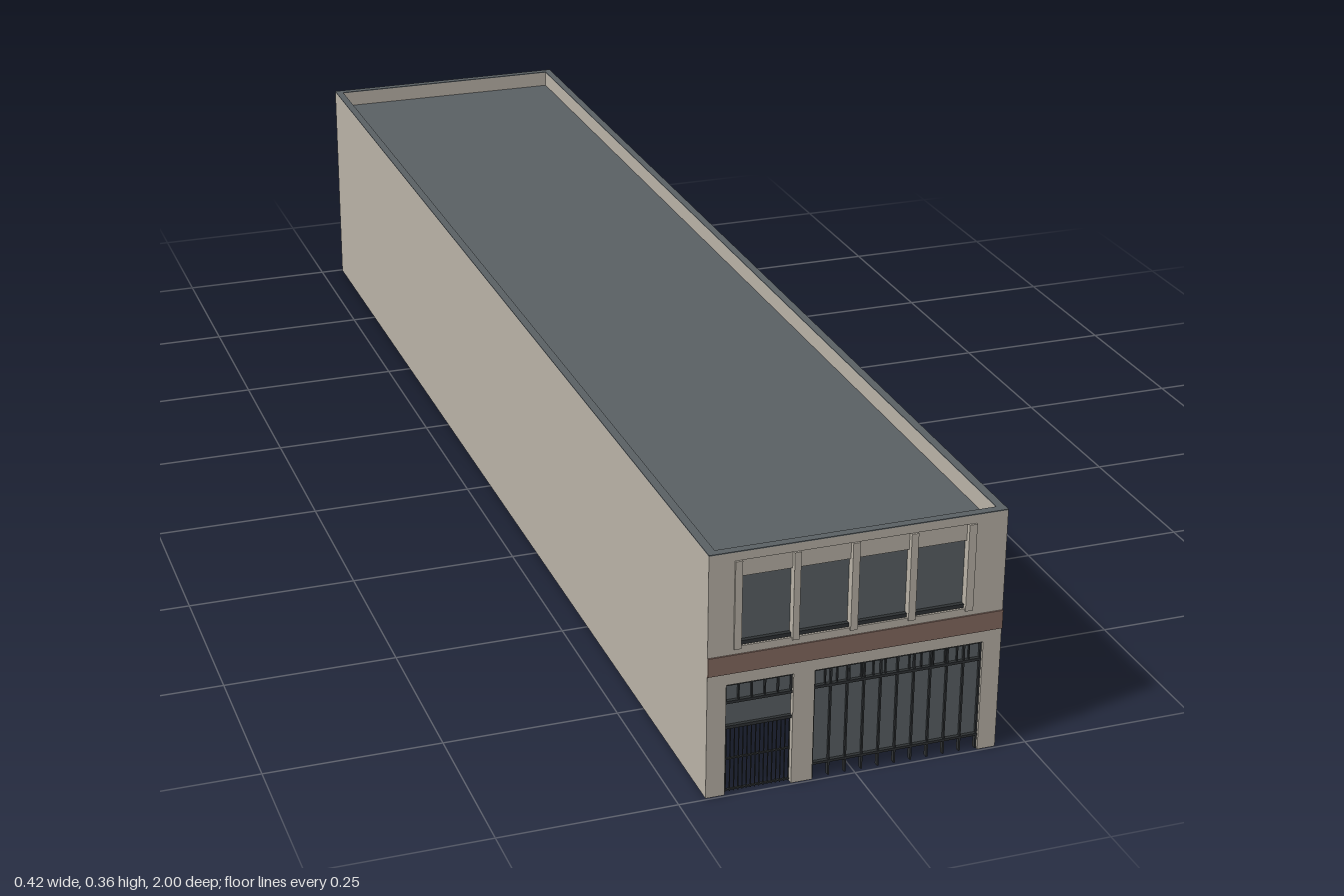
import * as THREE from 'three';

const mat = (name, color) => Object.assign(new THREE.MeshStandardMaterial({ color }), { name });
const T = 0.012, H = 0.356; // wall thickness, wall height
const X0 = -0.2115, X1 = 0.206, Z = 0.997;
const XC = (X0 + X1) / 2, W = X1 - X0;

export function createModel() {
  const stone = mat('stone', 0xbab3a8);
  const slate = mat('slate glass and roofing', 0x5a6064);
  const dark = mat('dark metal', 0x2e3133);
  const brick = mat('brown band', 0x866b61);

  const model = new THREE.Group();
  model.name = 'longBuilding';

  // Box given by its limits
  function box(parent, name, material, x0, x1, y0, y1, z0, z1) {
    const m = new THREE.Mesh(new THREE.BoxGeometry(x1 - x0, y1 - y0, z1 - z0), material);
    m.position.set((x0 + x1) / 2, (y0 + y1) / 2, (z0 + z1) / 2);
    m.name = name;
    parent.add(m);
    return m;
  }

  // Wall in its own group: outer face on local z = 0, doorways notched from the ground
  function wall(name, u0, u1, doors, holes) {
    const g = new THREE.Group();
    g.name = name;
    const s = new THREE.Shape();
    s.moveTo(u0, 0);
    for (const [a, b, h] of doors) {
      s.lineTo(a, 0); s.lineTo(a, h); s.lineTo(b, h); s.lineTo(b, 0);
    }
    s.lineTo(u1, 0); s.lineTo(u1, H); s.lineTo(u0, H); s.closePath();
    for (const [a, b, c, d] of holes) {
      const p = new THREE.Path();
      p.moveTo(a, c); p.lineTo(a, d); p.lineTo(b, d); p.lineTo(b, c); p.closePath();
      s.holes.push(p);
    }
    const geo = new THREE.ExtrudeGeometry(s, { depth: T, bevelEnabled: false });
    geo.translate(0, 0, -T);
    const m = new THREE.Mesh(geo, stone);
    m.name = name + 'Masonry';
    g.add(m);
    model.add(g);
    return g;
  }

  // Small windows: a hole, and the parts that fill it
  const upper = (u) => [u - 0.018, u + 0.018, 0.254, 0.31];
  const lower = (u) => [u - 0.02, u + 0.02, 0.084, 0.123];
  function fillWindow(g, [a, b, c, d], split) {
    box(g, 'windowPane', slate, a, b, c, d, -0.009, -0.006);
    box(g, 'windowSill', dark, a - 0.004, b + 0.004, c - 0.005, c, -0.006, 0.003);
    if (split) {
      box(g, 'windowTransom', stone, a, b, 0.283, 0.289, -0.006, -0.002);
      const u = (a + b) / 2;
      box(g, 'windowMullion', dark, u - 0.0007, u + 0.0007, c, d, -0.006, -0.004);
    }
  }
  function windowWall(name, u0, u1, doorHalf, doorHeight, ups, lows) {
    const g = wall(name, u0, u1, [[-doorHalf, doorHalf, doorHeight]],
      [...ups.map(upper), ...lows.map(lower)]);
    ups.forEach((u) => fillWindow(g, upper(u), true));
    lows.forEach((u) => fillWindow(g, lower(u), false));
    // Door standing open to the inside
    box(g, 'openDoor', dark, -doorHalf - 0.002, -doorHalf, 0.004, doorHeight, -T - 0.042, -T);
    return g;
  }

  // Right side wall: nineteen bays with a door in the middle one
  const bays = Array.from({ length: 19 }, (_, i) => (i - 9) * 0.1017);
  const side = windowWall('sideWall', -Z + T, Z - T, 0.021, 0.094, bays, bays.filter((u) => Math.abs(u) > 0.05));
  side.rotation.y = Math.PI / 2;
  side.position.x = X1;

  // Rear wall
  const rear = windowWall('rearWall', -W / 2, W / 2, 0.02, 0.092,
    [-0.129, -0.043, 0.043, 0.129], [-0.129, 0.129]);
  rear.rotation.y = Math.PI;
  rear.position.set(XC, 0, -Z);

  // Plain left side wall
  const blank = wall('blankWall', -Z + T, Z - T, [], []);
  blank.rotation.y = -Math.PI / 2;
  blank.position.x = X0;

  // Front wall with entrance, shop window and four upper bays
  const piers = [[-0.176, -0.166], [-0.095, -0.086], [-0.014, -0.004], [0.068, 0.078], [0.15, 0.161]];
  const upperBays = piers.slice(0, 4).map((p, i) => [p[1], piers[i + 1][0], 0.22, 0.344]);
  const E0 = -0.185, E1 = -0.091, S0 = -0.061, S1 = 0.18, TOP = 0.165;
  const front = wall('frontWall', X0, X1, [[E0, E1, TOP], [S0, S1, TOP]], upperBays);
  front.position.z = Z;
  for (const [a, b] of piers) box(front, 'pier', stone, a, b, 0.217, 0.344, -T, 0.003);
  for (const [a, b] of upperBays) {
    box(front, 'bayHeader', stone, a, b, 0.319, 0.344, -T, -0.004);
    box(front, 'bayGlass', slate, a, b, 0.22, 0.319, -T, -0.009);
    box(front, 'baySill', dark, a, b, 0.22, 0.2255, -0.009, -0.003);
  }
  box(front, 'brownBand', brick, X0, X1, 0.182, 0.209, 0, 0.002);

  // Shop window, open below its bottom rail
  box(front, 'shopGlass', slate, S0, S1, 0.022, TOP, -0.01, -0.008);
  for (const [c, d] of [[0.02, 0.0235], [0.1355, 0.1395], [0.162, TOP]])
    box(front, 'shopRail', dark, S0, S1, c, d, -0.011, -0.003);
  for (let i = 0; i <= 10; i++) {
    const u = S0 + 0.0012 + i * (S1 - S0 - 0.0024) / 10;
    box(front, 'shopMullion', dark, u - 0.0012, u + 0.0012, 0, TOP, -0.011, -0.004);
  }
  for (let i = 1; i < 14; i++) {
    const u = S0 + i * (S1 - S0) / 14;
    box(front, 'transomBar', dark, u - 0.0009, u + 0.0009, 0.138, TOP, -0.008, -0.005);
  }

  // Entrance: transom lights, sign panel and barred gate
  box(front, 'entranceGlass', slate, E0, E1, 0.101, TOP, -0.01, -0.008);
  for (const [c, d] of [[0.135, 0.139], [0.0975, 0.102], [0.162, TOP]])
    box(front, 'entranceRail', dark, E0, E1, c, d, -0.011, -0.003);
  for (let i = 0; i <= 5; i++) {
    const u = E0 + 0.001 + i * (E1 - E0 - 0.002) / 5;
    box(front, 'entranceBar', dark, u - 0.001, u + 0.001, 0.137, TOP, -0.008, -0.004);
  }
  for (let i = 0; i <= 15; i++) {
    const u = E0 + 0.004 + i * (E1 - E0 - 0.005) / 15;
    box(front, 'gateBar', dark, u - 0.0006, u + 0.0006, 0, 0.1, -0.009, -0.0075);
  }
  for (const y of [0.003, 0.05]) box(front, 'gateRail', dark, E0, E1, y - 0.001, y + 0.001, -0.01, -0.007);
  box(front, 'openEntranceDoor', slate, E0, E0 + 0.004, 0.002, 0.1, -0.09, -T);

  // Sunken flat roof and parapet coping
  box(model, 'roof', slate, X0 + T, X1 - T, 0.328, 0.331, -Z + T, Z - T);
  const C = H + 0.0015;
  for (const s of [-1, 1]) {
    const z = s * (Z - T / 2);
    box(model, 'coping', slate, X0, X1, H, C, z - T / 2, z + T / 2);
    const x = XC + s * (W / 2 - T / 2);
    box(model, 'coping', slate, x - T / 2, x + T / 2, H, C, -Z + T, Z - T);
  }
  return model;
}
